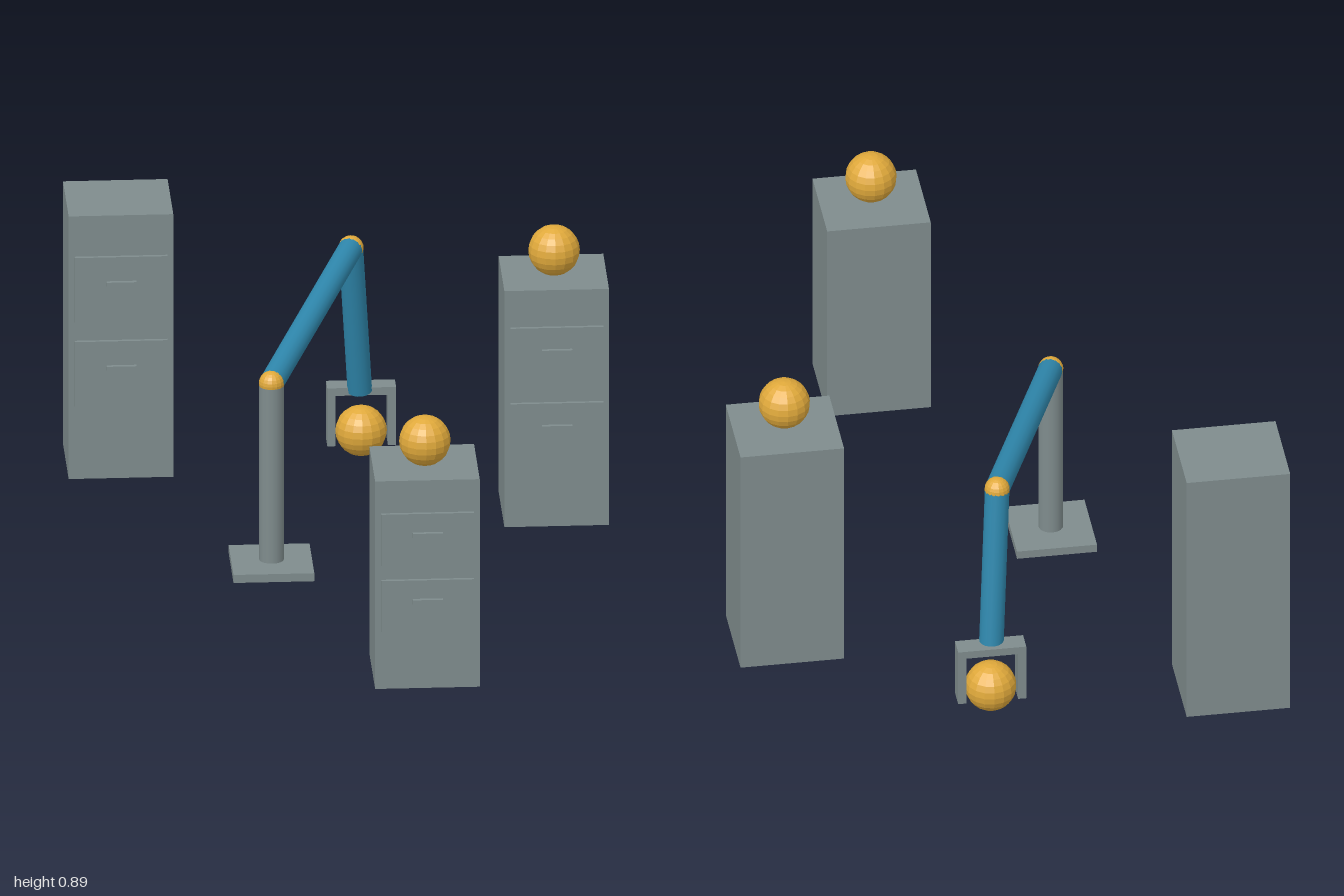
import * as THREE from 'three';

export function createModel() {
  const root = new THREE.Group();
  const grey = new THREE.MeshStandardMaterial({ name: 'grey metal', color: 0x7f8c8d });
  const blue = new THREE.MeshStandardMaterial({ name: 'arm blue', color: 0x2e86ab });
  const gold = new THREE.MeshStandardMaterial({ name: 'ball gold', color: 0xe0a93b });
  gold.flatShading = true;

  const add = (parent, name, geometry, material, x, y, z) => {
    const mesh = new THREE.Mesh(geometry, material);
    mesh.name = name;
    mesh.position.set(x, y, z);
    parent.add(mesh);
    return mesh;
  };
  const box = (parent, name, w, h, d, x, y, z) =>
    add(parent, name, new THREE.BoxGeometry(w, h, d), grey, x, y, z);
  const ball = (parent, name, r, x, y, z) =>
    add(parent, name, new THREE.SphereGeometry(r, 16, 12), gold, x, y, z);

  // Round bar between two points
  const bar = (parent, name, a, b, r, material) => {
    const dir = b.clone().sub(a);
    const mid = a.clone().add(b).multiplyScalar(0.5);
    const mesh = add(parent, name, new THREE.CylinderGeometry(r, r, dir.length(), 16), material, mid.x, mid.y, mid.z);
    mesh.quaternion.setFromUnitVectors(new THREE.Vector3(0, 1, 0), dir.normalize());
  };

  // Filing cabinets with two drawers each; two carry a ball on top
  const depth = 0.276, ballR = 0.075;
  const cabinets = [
    { name: 'tallCabinet', x: -0.622, front: -0.724, h: 0.82, hasBall: false },
    { name: 'middleCabinet', x: 0.617, front: -0.272, h: 0.737, hasBall: true },
    { name: 'shortCabinet', x: 0.167, front: 0.971, h: 0.648, hasBall: true },
  ];
  for (const { name, x, front, h, hasBall } of cabinets) {
    const cabinet = new THREE.Group();
    cabinet.name = name;
    cabinet.position.set(x, 0, front);
    box(cabinet, 'cabinetBody', 0.304, h, depth, 0, h / 2, -depth / 2);
    for (const level of [0.405, 0.725]) {
      box(cabinet, 'drawerFront', 0.27, 0.248 * h, 0.011, 0, level * h, 0.0115);
      box(cabinet, 'drawerHandle', 0.088, 0.015, 0.012, 0, (level + 0.024) * h, 0.023);
    }
    if (hasBall) ball(cabinet, 'cabinetBall', ballR, 0, h + ballR, -0.126);
    root.add(cabinet);
  }

  // Robot arm: base, post, two links and their joints
  const arm = new THREE.Group();
  arm.name = 'robotArm';
  const foot = new THREE.Vector3(-0.228, 0.02, 0);
  const shoulder = new THREE.Vector3(-0.228, 0.575, 0);
  const elbow = new THREE.Vector3(0.048, 0.69, -0.755);
  const wrist = new THREE.Vector3(0.079, 0.21, -0.843);
  const r = 0.036;
  box(arm, 'basePlate', 0.235, 0.025, 0.235, -0.228, 0.0125, 0);
  bar(arm, 'post', foot, shoulder, r, grey);
  bar(arm, 'upperLink', shoulder, elbow, r, blue);
  bar(arm, 'lowerLink', elbow, wrist, r, blue);
  for (const [name, p] of [['shoulderJoint', shoulder], ['elbowJoint', elbow]])
    ball(arm, name, r + 0.001, p.x, p.y, p.z);
  root.add(arm);

  // Gripper: crossbar with a finger on each side, holding a ball
  const gripper = new THREE.Group();
  gripper.name = 'gripper';
  gripper.position.set(0.084, 0, -0.862);
  box(gripper, 'gripperBar', 0.2, 0.024, 0.06, 0, 0.21, 0);
  for (const side of [-1, 1])
    box(gripper, 'finger', 0.024, 0.181, 0.06, side * 0.088, 0.1315, 0);
  ball(gripper, 'heldBall', ballR, 0, ballR + 0.002, 0);
  root.add(gripper);

  return root;
}
